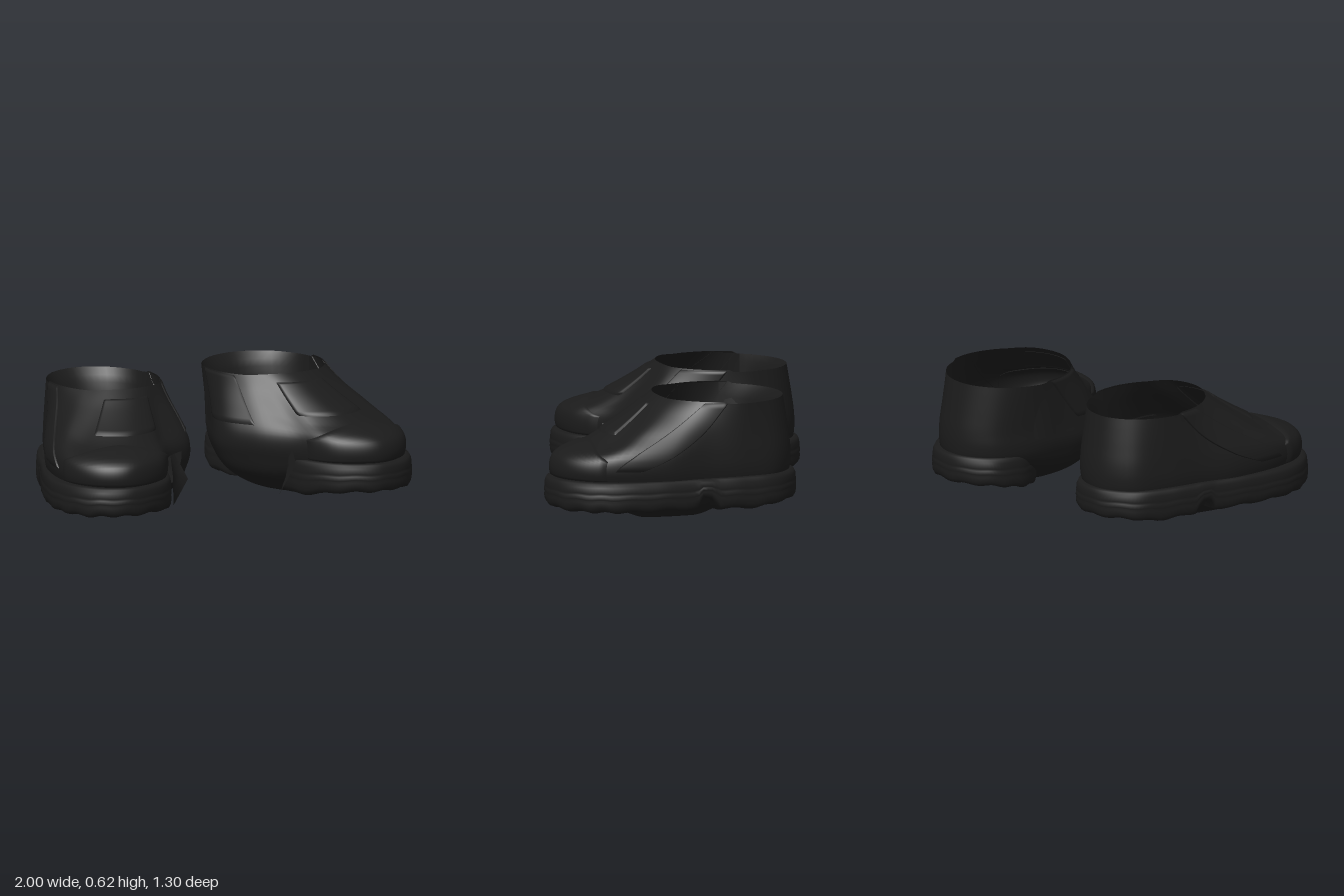
import * as THREE from 'three';

const black = new THREE.MeshStandardMaterial({ color: 0x1b1b1b, side: THREE.DoubleSide });
black.name = 'black leather';

const { lerp, smoothstep } = THREE.MathUtils;
const V = (x, y, z) => new THREE.Vector3(x, y, z);
const loop = pts => new THREE.CatmullRomCurve3(pts.map(([x, z]) => V(x, 0, z)), true);
const centreX = z => 0.48 + 0.2 * (z + 0.6) / 1.2;

// Plan outlines (x, z): toe, outer side, heel, inner side
const outerSide = [[.70, .61], [.84, .555], [.93, .43], [.955, .26], [.91, 0], [.82, -.2],
  [.74, -.4], [.64, -.56], [.47, -.62], [.30, -.56]];
const innerSides = {
  '1': [[.20, -.42], [.12, -.2], [.082, 0], [.19, .18], [.36, .34], [.50, .53]],
  '-1': [[.20, -.42], [.17, -.2], [.15, 0], [.175, .19], [.36, .34], [.50, .53]],
};
const soleOutline = loop([[.70, .65], [.87, .59], [.975, .44], [1, .28], [.95, .05], [.86, -.18],
  [.78, -.4], [.67, -.58], [.47, -.65], [.28, -.58], [.205, -.43], [.23, -.28], [.33, -.1],
  [.35, .1], [.36, .36], [.50, .57]]);
const rimAngles = [0, 15, 30, 50, 75, 95, 120, 150, 180, 210, 240, 265, 290, 315, 333, 347];
const makeRim = inner => loop(rimAngles.map(d => {
  const a = d * Math.PI / 180;
  return [(0.755 + inner) / 2 + (0.755 - inner) / 2 * Math.sin(a), -0.24 + 0.34 * Math.cos(a)];
}));

// Surface grid from f(u, v); side = -1 mirrors it across x
function grid(f, nu, nv, closed, side, skip) {
  const pos = [], index = [], cols = closed ? nu : nu + 1;
  for (let j = 0; j <= nv; j++) for (let i = 0; i < cols; i++) {
    const p = f(i / nu, j / nv);
    pos.push(p.x * side, p.y, p.z);
  }
  for (let j = 0; j < nv; j++) for (let i = 0; i < nu; i++) {
    if (skip && skip(i / nu, j / nv)) continue;
    const a = j * cols + i, b = j * cols + (i + 1) % cols, c = a + cols, d = b + cols;
    if (side > 0) index.push(a, b, c, b, d, c);
    else index.push(a, c, b, b, c, d);
  }
  const g = new THREE.BufferGeometry();
  g.setAttribute('position', new THREE.Float32BufferAttribute(pos, 3));
  g.setIndex(index);
  g.computeVertexNormals();
  return g;
}

const rimHeight = z => 0.6 + 0.012 * smoothstep(z, -0.32, -0.29) + 0.01 * smoothstep(z, 0, 0.1);

function makeShoe(side) {
  const shoe = new THREE.Group();
  shoe.name = side > 0 ? 'leftShoe' : 'rightShoe';
  const add = (name, geo) => {
    const m = new THREE.Mesh(geo, black);
    m.name = name;
    shoe.add(m);
  };
  const outline = loop([...outerSide, ...innerSides[side]]);
  const rimCurve = makeRim(side > 0 ? 0.125 : 0.185);

  // Upper: base outline drawn up into the ankle opening, closed below by a rounded keel
  const surface = (u, v) => {
    u = ((u % 1) + 1) % 1;
    const o = outline.getPoint(u), r = rimCurve.getPoint(u);
    const low = 0.004 + 0.11 * smoothstep(Math.abs(o.z), 0.15, 0.55);
    const flank = 1 - smoothstep(o.z, 0.2, 0.45);
    const under = (k, y) => V(lerp(centreX(o.z), o.x, k), y, o.z * lerp(0.6, 1, k));
    const over = (s, y) => V(lerp(o.x, r.x, s), y, lerp(o.z, r.z, s));
    const profile = new THREE.CatmullRomCurve3([
      under(0, low), under(0.5, low + 0.008), under(0.86, lerp(low, 0.21, 0.55)),
      under(0.965, 0.21), over(-0.01, 0.27), over(0.03, 0.33 + 0.015 * flank),
      over(0.36, 0.405 + 0.04 * flank), over(0.76, 0.53 + 0.015 * flank), over(1, rimHeight(r.z)),
    ]);
    return profile.getPoint(Math.min(Math.max(v, 0), 1));
  };
  const torn = (u, v) => side < 0 && u > 0.835 && u < 0.88 && v > 0.26 && v < 0.55;
  add('upper', grid(surface, 96, 48, true, side, torn));

  // Raised panels following the upper; q maps the unit square to surface coordinates
  const panel = (name, q, height) => add(name, grid((s, t) => {
    const [u, v] = q(s, t), e = 0.004, p = surface(u, v);
    const du = surface(u + e, v).sub(surface(u - e, v));
    const dv = surface(u, v + e).sub(surface(u, v - e));
    const edge = Math.min(s, 1 - s, t, 1 - t) < 0.001;
    return p.addScaledVector(du.cross(dv).normalize(), edge ? -0.004 : height);
  }, 32, 16, false, side));
  panel('toeCap', (s, t) => {
    const w = 2 * s - 1;
    return [lerp(-0.11, 0.17, s), lerp(0.4, 0.755 - 0.14 * w * w, t)];
  }, 0.01);
  panel('vampPanel', (s, t) => [lerp(-0.09, 0.11, s), lerp(0.78, 0.95, t)], 0.007);
  panel('outerStrap', (s, t) => {
    const bow = 0.02 * Math.sin(Math.PI * t);
    return [lerp(lerp(0.18, 0.27, t), lerp(0.215, 0.33, t) + bow, s), lerp(0.5, 0.995, t)];
  }, 0.008);
  panel('innerStrap', (s, t) => [
    lerp(lerp(0.72, 0.68, t), lerp(0.82, 0.79, t), s), lerp(0.66, 0.995, t)], 0.006);

  // Heel padding inside the collar
  add('heelPadding', grid((s, t) => {
    const p = surface(lerp(0.7, 0.34, s), 1), inset = 0.3 * Math.sin(Math.PI * s) * Math.sqrt(t);
    return V(lerp(p.x, 0.47, inset * 0.4), p.y - 0.3 * t, lerp(p.z, -0.24, inset));
  }, 24, 8, false, side));

  // Sole: grooved sidewall, scalloped tread and a raised arch ahead of the heel
  const layers = [[0, 0], [.5, .004], [.88, .012], [.96, .025], [.99, .05], [1, .085], [.988, .1],
    [1, .108], [.998, .135], [.982, .142], [.994, .15], [.985, .19], [.96, .214], [.9, .221], [.5, .221]];
  add('sole', grid((u, v) => {
    const [k, h] = layers[Math.round(v * (layers.length - 1))];
    const o = soleOutline.getPoint(u);
    const arch = smoothstep(o.z, -0.27, -0.23) * (1 - smoothstep(o.z, -0.18, -0.15));
    const ends = smoothstep(Math.abs(o.z), 0.3, 0.65);
    const outer = smoothstep(o.x, 0.4, 0.95);
    const lug = 0.005 * Math.sin(u * Math.PI * 2 * 20);
    const bottom = 0.018 + 0.045 * Math.max(ends, outer * 0.8) + 0.06 * arch + lug;
    return V(lerp(centreX(o.z), o.x, k), lerp(bottom, 0.221, h / 0.221), o.z * lerp(0.5, 1, k));
  }, 160, layers.length - 1, true, side));

  // Folded flap at the inner side, between the arch and the forefoot
  const flap = [[.30, .02, .26], [.35, .20, .36], [.34, .36, .29], [.25, .17, .33]];
  if (side > 0) flap[3] = [.33, .14, .31];
  add('innerFlap', grid((s, t) => {
    const [a, b, c, d] = flap.map(p => V(...p));
    return a.lerp(b, s).lerp(d.lerp(c, s), t);
  }, 3, 3, false, side));
  return shoe;
}

export function createModel() {
  const model = new THREE.Group();
  model.name = 'pairOfShoes';
  for (const side of [1, -1]) model.add(makeShoe(side));
  return model;
}
